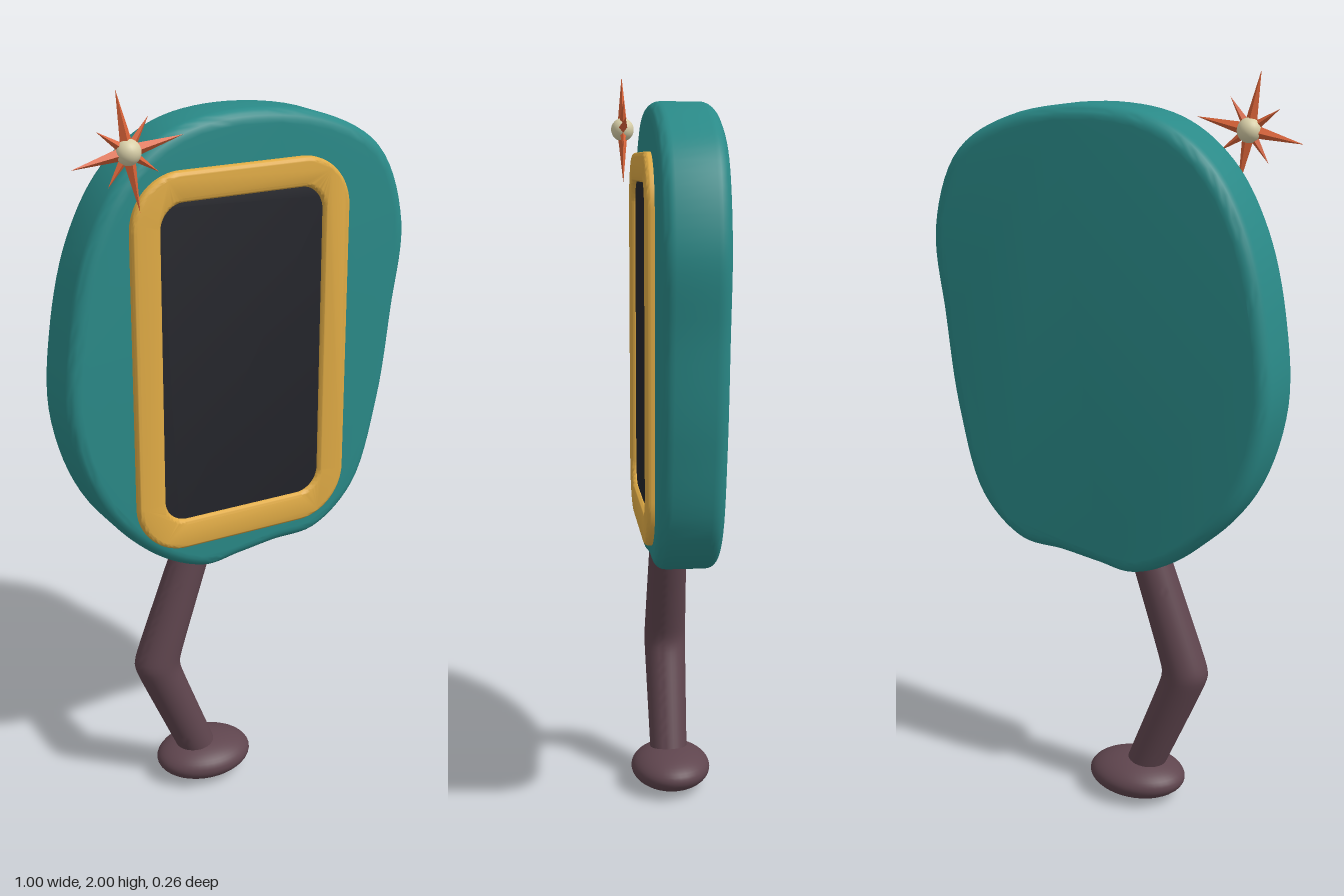
import * as THREE from 'three';
import { mergeVertices, toCreasedNormals } from 'three/addons/utils/BufferGeometryUtils.js';

const mat = (color) => new THREE.MeshStandardMaterial({ color });
const teal = mat(0x2a8a88), gold = mat(0xe0ab45), dark = mat(0x24252b);
const plum = mat(0x5f454e), orange = mat(0xdb6439), cream = mat(0xd8cfa8);

function add(parent, name, geometry, material) {
  const mesh = new THREE.Mesh(geometry, material);
  mesh.name = name;
  parent.add(mesh);
  return mesh;
}

// Extrusion from z0 to z1 whose rounded edge stays inside the outline
function slab(shape, z0, z1, bevel, curveSegments = 12) {
  const g = new THREE.ExtrudeGeometry(shape, {
    depth: z1 - z0 - 2 * bevel, bevelThickness: bevel, bevelSize: bevel,
    bevelOffset: -bevel, bevelSegments: 6, curveSegments,
  });
  g.translate(0, 0, z0 + bevel);
  g.deleteAttribute('uv');
  g.deleteAttribute('normal');
  return toCreasedNormals(mergeVertices(g, 1e-5), 0.6);
}

function roundedRect(path, x0, y0, x1, y1, r) {
  path.absarc(x1 - r, y1 - r, r, 0, Math.PI / 2);
  path.absarc(x0 + r, y1 - r, r, Math.PI / 2, Math.PI);
  path.absarc(x0 + r, y0 + r, r, Math.PI, Math.PI * 1.5);
  path.absarc(x1 - r, y0 + r, r, Math.PI * 1.5, Math.PI * 2);
  path.closePath();
  return path;
}

export function createModel() {
  const model = new THREE.Group();
  model.name = 'oneLeggedPanel';

  // Lopsided pebble-shaped body
  const outline = [
    [-0.01, 1.92], [-0.2, 1.885], [-0.335, 1.785], [-0.43, 1.62], [-0.485, 1.4],
    [-0.497, 1.17], [-0.42, 0.935], [-0.265, 0.765], [-0.115, 0.695], [-0.01, 0.706],
    [0.1, 0.72], [0.235, 0.732], [0.36, 0.84], [0.435, 1.08], [0.472, 1.34],
    [0.496, 1.58], [0.42, 1.785], [0.25, 1.885],
  ].map(([x, y]) => new THREE.Vector3(x, y, 0));
  const curve = new THREE.CatmullRomCurve3(outline, true);
  const bodyShape = new THREE.Shape(curve.getPoints(120).slice(0, -1).map((p) => new THREE.Vector2(p.x, p.y)));
  add(model, 'body', slab(bodyShape, -0.112, 0.058, 0.035), teal);

  // Raised frame around a recessed screen
  const frame = roundedRect(new THREE.Shape(), -0.326, 0.782, 0.302, 1.792, 0.14);
  frame.holes.push(roundedRect(new THREE.Path(), -0.247, 0.865, 0.222, 1.715, 0.065));
  add(model, 'screenFrame', slab(frame, 0.04, 0.079, 0.012), gold);
  const screen = roundedRect(new THREE.Shape(), -0.265, 0.845, 0.24, 1.735, 0.08);
  add(model, 'screen', slab(screen, 0.045, 0.066, 0.003), dark);

  // Bent leg: a cylinder whose rings slide sideways towards the knee
  const kneeY = 0.4, y0 = 0.05, y1 = 0.78;
  const leg = new THREE.CylinderGeometry(1, 1, y1 - y0, 32, 48);
  leg.translate(0, (y0 + y1) / 2, 0);
  const pos = leg.attributes.position;
  for (let i = 0; i < pos.count; i++) {
    const d = pos.getY(i) - kneeY;
    const bend = Math.sqrt(d * d + 0.0003) - 0.017;
    const r = 0.06 - 0.025 * Math.abs(d);
    pos.setX(i, -0.24 + bend * (d > 0 ? 0.36 : 0.42) + pos.getX(i) * r * 1.07);
    pos.setZ(i, -0.015 + pos.getZ(i) * r);
  }
  leg.computeVertexNormals();
  add(model, 'leg', toCreasedNormals(leg, 0.8), plum);

  // Flattened oval foot
  const foot = add(model, 'foot', new THREE.SphereGeometry(1, 40, 24), plum);
  foot.scale.set(0.14, 0.057, 0.112);
  foot.position.set(-0.095, 0.059, -0.018);

  // Starburst: a ball with alternating long and short spikes
  const star = new THREE.Group();
  star.name = 'starburst';
  star.position.set(-0.34, 1.857, 0.095);
  star.rotation.z = 0.19;
  model.add(star);
  add(star, 'starBall', new THREE.SphereGeometry(0.032, 24, 16), cream);
  const spikeMaterial = orange.clone();
  spikeMaterial.flatShading = true;
  for (let i = 0; i < 8; i++) {
    const length = i % 2 ? 0.085 : 0.138;
    const cone = new THREE.ConeGeometry(i % 2 ? 0.013 : 0.017, length, 4);
    cone.translate(0, length / 2 + 0.012, 0);
    const spike = add(star, 'spike', cone, spikeMaterial);
    spike.rotation.z = (i * Math.PI) / 4;
    spike.scale.z = 0.8;
  }
  return model;
}
